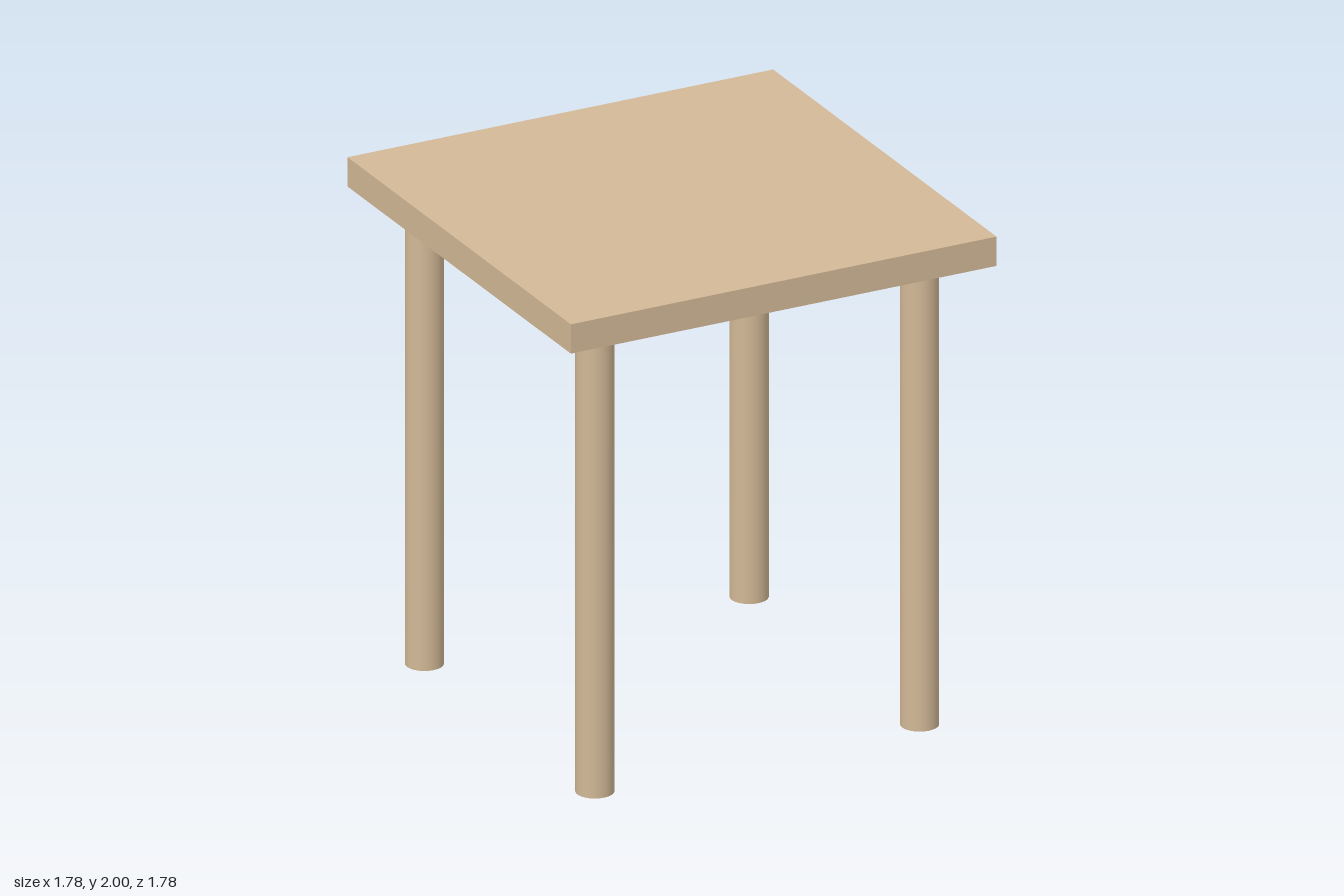
import * as THREE from 'three';

const HEIGHT = 2, TOP_SIZE = 1.78, TOP_THICKNESS = 0.118;
const LEG_RADIUS = 0.073, LEG_OFFSET = 0.679;

export function createModel() {
  const table = new THREE.Group();
  table.name = 'table';
  const wood = new THREE.MeshStandardMaterial({ color: 0xd2b896 });

  // Square slab top
  const top = new THREE.Mesh(new THREE.BoxGeometry(TOP_SIZE, TOP_THICKNESS, TOP_SIZE), wood);
  top.name = 'tableTop';
  top.position.y = HEIGHT - TOP_THICKNESS / 2;
  table.add(top);

  // Four round legs, inset from the corners
  const legHeight = HEIGHT - TOP_THICKNESS;
  const legGeometry = new THREE.CylinderGeometry(LEG_RADIUS, LEG_RADIUS, legHeight, 32);
  for (const [sx, xName] of [[1, 'Left'], [-1, 'Right']]) {
    for (const [sz, zName] of [[1, 'front'], [-1, 'back']]) {
      const leg = new THREE.Mesh(legGeometry, wood);
      leg.name = `${zName}${xName}Leg`;
      leg.position.set(sx * LEG_OFFSET, legHeight / 2, sz * LEG_OFFSET);
      table.add(leg);
    }
  }
  return table;
}
